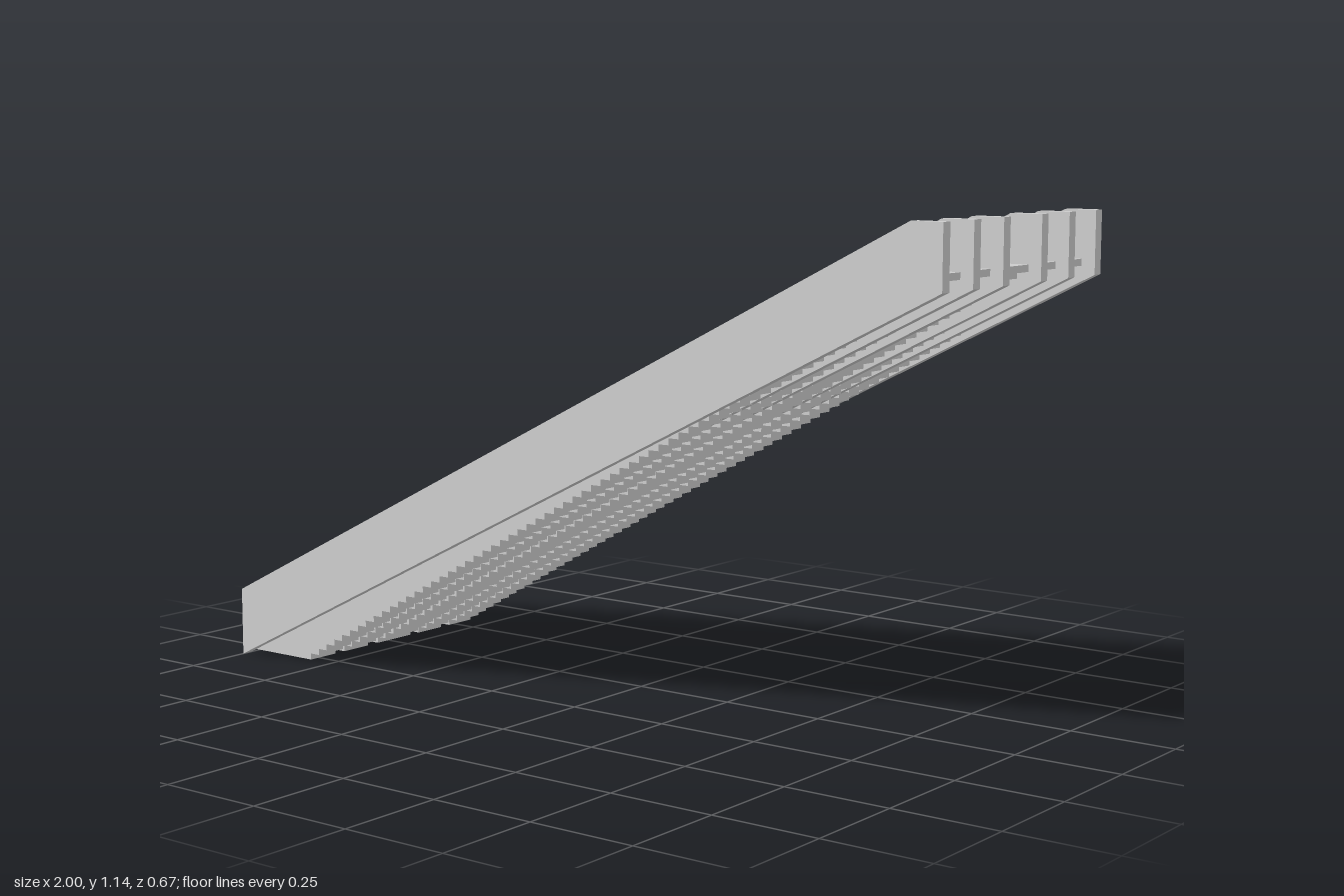
import * as THREE from 'three';

const material = new THREE.MeshStandardMaterial({ color: 0xcccccc, flatShading: true });

// Sloped side wall, extruded across z
function makeWallGeometry(thickness) {
  const shape = new THREE.Shape([
    [-1, 0], [1, 1], [1, 1.14], [0.925, 1.14], [-1, 0.165],
  ].map(([x, y]) => new THREE.Vector2(x, y)));
  const geometry = new THREE.ExtrudeGeometry(shape, { depth: thickness, bevelEnabled: false });
  return geometry.translate(0, 0, -thickness / 2);
}

// One flight of overlapping slabs, each a little higher and further along
function makeFlight(zMin, zMax) {
  const flight = new THREE.Group();
  flight.name = 'stairFlight';
  const count = 67, depth = 0.195, bottom = 0.004, top = 1.034;
  const rise = (top - bottom) / count;
  const run = (1.97 - depth) / (count - 1);
  const geometry = new THREE.BoxGeometry(depth, rise, zMax - zMin);
  for (let i = 0; i < count; i++) {
    const step = new THREE.Mesh(geometry, material);
    step.name = 'step';
    step.position.set(-1 + depth / 2 + i * run, bottom + (i + 0.5) * rise, (zMin + zMax) / 2);
    flight.add(step);
  }
  return flight;
}

export function createModel() {
  const model = new THREE.Group();
  model.name = 'staircase';

  // Six parallel walls, mirrored about the centre
  const wallGeometry = makeWallGeometry(0.027);
  for (const z of [0.08, 0.2, 0.32]) {
    for (const side of [1, -1]) {
      const wall = new THREE.Mesh(wallGeometry, material);
      wall.name = 'slopedWall';
      wall.position.z = z * side;
      model.add(wall);
    }
  }

  // Five flights between the walls; the middle one is wider
  const flights = [
    [0.205, 0.29], [0.088, 0.173], [-0.068, 0.052], [-0.185, -0.1], [-0.303, -0.218],
  ];
  for (const [zMin, zMax] of flights) model.add(makeFlight(zMin, zMax));

  return model;
}
